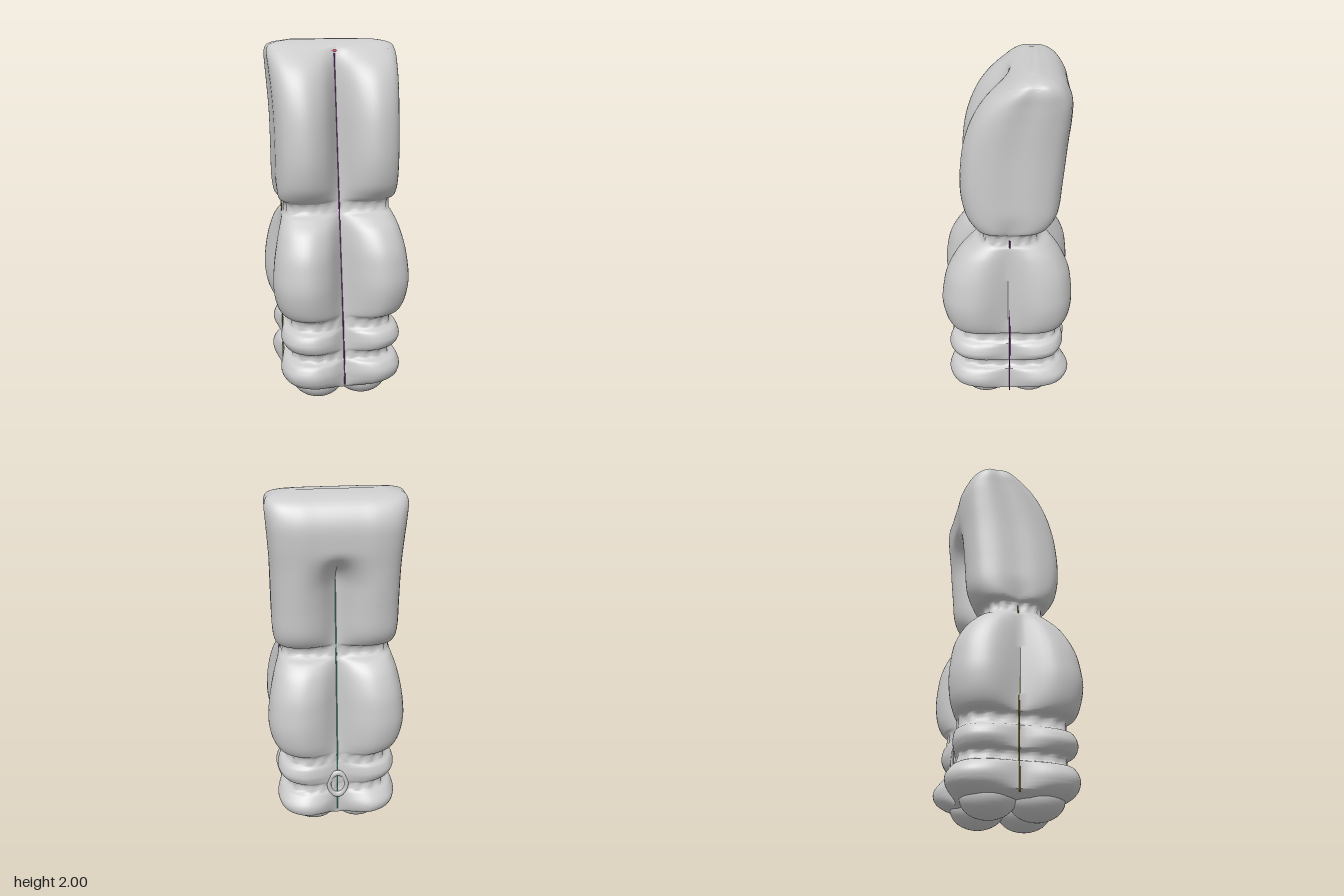
import * as THREE from 'three';
import { toCreasedNormals } from 'three/addons/utils/BufferGeometryUtils.js';

const V = (x, y, z) => new THREE.Vector3(x, y, z);
const { smoothstep, lerp } = THREE.MathUtils;
const grey = new THREE.MeshStandardMaterial({ color: 0xcccccc });

// Outline up the body: height, half width, front z, back z
const outline = [
  [0.09, 0.25, 0.25, -0.25], [0.115, 0.3, 0.3, -0.31], [0.15, 0.332, 0.33, -0.348],
  [0.2, 0.342, 0.34, -0.355], [0.25, 0.32, 0.32, -0.32], [0.27, 0.285, 0.285, -0.3],
  [0.31, 0.285, 0.285, -0.29], [0.335, 0.318, 0.32, -0.305], [0.38, 0.338, 0.335, -0.318],
  [0.43, 0.322, 0.32, -0.31], [0.455, 0.29, 0.285, -0.295], [0.505, 0.29, 0.285, -0.295],
  [0.535, 0.335, 0.325, -0.32], [0.6, 0.365, 0.35, -0.345], [0.7, 0.38, 0.365, -0.356],
  [0.8, 0.375, 0.355, -0.35], [0.9, 0.36, 0.33, -0.332], [1.0, 0.335, 0.27, -0.285],
  [1.06, 0.31, 0.2, -0.23], [1.09, 0.295, 0.155, -0.175], [1.14, 0.295, 0.15, -0.175],
  [1.17, 0.325, 0.185, -0.225], [1.25, 0.336, 0.23, -0.268], [1.4, 0.337, 0.25, -0.284],
  [1.6, 0.338, 0.232, -0.302], [1.75, 0.344, 0.185, -0.318], [1.86, 0.35, 0.115, -0.317],
  [1.94, 0.352, 0.02, -0.28], [1.98, 0.325, -0.045, -0.225], [2.0, 0.22, -0.11, -0.15],
];
const spline = (pts) => new THREE.CatmullRomCurve3(pts, false, 'catmullrom', 0.5);
const widthCurve = spline(outline.map(([y, a]) => V(a, y, 0)));
const depthCurve = spline(outline.map(([y, , f, b]) => V(f, y, b)));

// Depth of the centre creases in front and behind
const frontCrease = (y) => Math.min(0.27, -0.01 + (1.94 - y) * 0.16);
const backCrease = (y) => -Math.min(0.27, 0.1 + (1.6 - y) * 0.14);

const SEG = 24;

// One quarter of a cross-section, from the centre crease round to the side crease
function quarter(a, side, depth, crease, mid) {
  const at = (u, z) => V(u * a, 0, mid + z * (depth - mid));
  return new THREE.CatmullRomCurve3([
    V(0, 0, crease),
    V(0.28 * a, 0, lerp(crease, depth, 0.76)),
    at(0.57, 1), at(0.88, 0.84), at(1, 0.48),
    V(side, 0, mid),
  ]).getPoints(SEG);
}

function section(t) {
  const { x: a, y } = widthCurve.getPoint(t);
  const { x: front, z: back } = depthCurve.getPoint(t);
  const upper = smoothstep(y, 1.08, 1.3);
  const mid = upper * (front + back) / 2;
  const side = lerp(Math.min(0.305, a), a * 0.995, upper);
  const gf = Math.min(front, frontCrease(y));
  const gb = lerp(Math.max(back, backCrease(y)), back, smoothstep(y, 1.5, 1.72));
  const f = quarter(a, side, front, gf, mid);
  const b = quarter(a, side, back, gb, mid);
  const half = [...f, ...b.reverse().slice(1)];
  const other = half.slice(1, -1).reverse().map((p) => V(-p.x, 0, p.z));
  const ring = [...half, ...other];
  // Fine gathers in the three waists
  const gather = Math.max(...[0.29, 0.48, 1.115].map((c) => 1 - smoothstep(Math.abs(y - c), 0.012, 0.03)));
  ring.forEach((p, j) => {
    const k = 1 + 0.018 * gather * (j % 4 < 2 ? -1 : 0.6);
    p.set(p.x * k, y, p.z * k);
  });
  return ring;
}

function bodyGeometry() {
  const rows = 180, n = SEG * 4;
  const pos = [], index = [];
  for (let i = 0; i <= rows; i++) section(i / rows).forEach((p) => pos.push(p.x, p.y, p.z));
  for (let i = 0; i < rows; i++) {
    for (let j = 0; j < n; j++) {
      const k = (j + 1) % n, p = i * n, q = p + n;
      index.push(p + j, p + k, q + k, p + j, q + k, q + j);
    }
  }
  // Close both ends
  const low = pos.length / 3, high = low + 1, last = rows * n;
  pos.push(0, 0.09, 0, 0, 1.99, -0.13);
  for (let j = 0; j < n; j++) {
    const k = (j + 1) % n;
    index.push(low, k, j, high, last + j, last + k);
  }
  const g = new THREE.BufferGeometry();
  g.setAttribute('position', new THREE.Float32BufferAttribute(pos, 3));
  g.setIndex(index);
  return toCreasedNormals(g, 0.8);
}

export function createModel() {
  const model = new THREE.Group();
  const add = (name, geometry, material = grey) => {
    const mesh = new THREE.Mesh(geometry, material);
    mesh.name = name;
    model.add(mesh);
    return mesh;
  };
  const seam = (name, points, color, radius = 0.004) =>
    add(name, new THREE.TubeGeometry(new THREE.CatmullRomCurve3(points), 32, radius, 5),
      new THREE.MeshStandardMaterial({ color }));

  // Puffed body with rings, belly and upper block
  add('body', bodyGeometry());

  // Four cushions underneath
  for (const sx of [1, -1]) {
    for (const sz of [1, -1]) {
      const foot = add('bottomCushion', new THREE.SphereGeometry(1, 32, 20));
      foot.scale.set(0.145, 0.105, 0.145);
      foot.position.set(sx * 0.127, 0.105, sz * 0.127);
    }
  }

  // Stitched seams along the creases
  const purple = 0x7b2d8b;
  const along = (crease, y0, y1) =>
    Array.from({ length: 24 }, (_, i) => lerp(y0, y1, i / 23)).map((y) => V(0, y, crease(y)));
  seam('frontSeam', along(frontCrease, 0.11, 1.93), purple);
  seam('backSeam', along(backCrease, 0.12, 1.55), 0x3fa08f);
  seam('leftSeam', [V(0.307, 0.1, -0.01), V(0.307, 0.6, -0.01), V(0.3, 1.12, -0.01)], purple);
  seam('rightSeam', [V(-0.307, 0.1, -0.01), V(-0.307, 0.6, -0.01), V(-0.3, 1.12, -0.01)], 0x8a7a20);
  seam('topSeam', [V(-0.3, 1.945, -0.012), V(0, 1.942, -0.012), V(0.3, 1.945, -0.012)], 0xe0507a, 0.006);

  // Small gathered opening low on the back
  const opening = add('backOpening', new THREE.TorusGeometry(0.05, 0.012, 10, 32));
  opening.scale.set(1, 1.5, 1);
  opening.position.set(0, 0.31, -0.28);

  return model;
}
